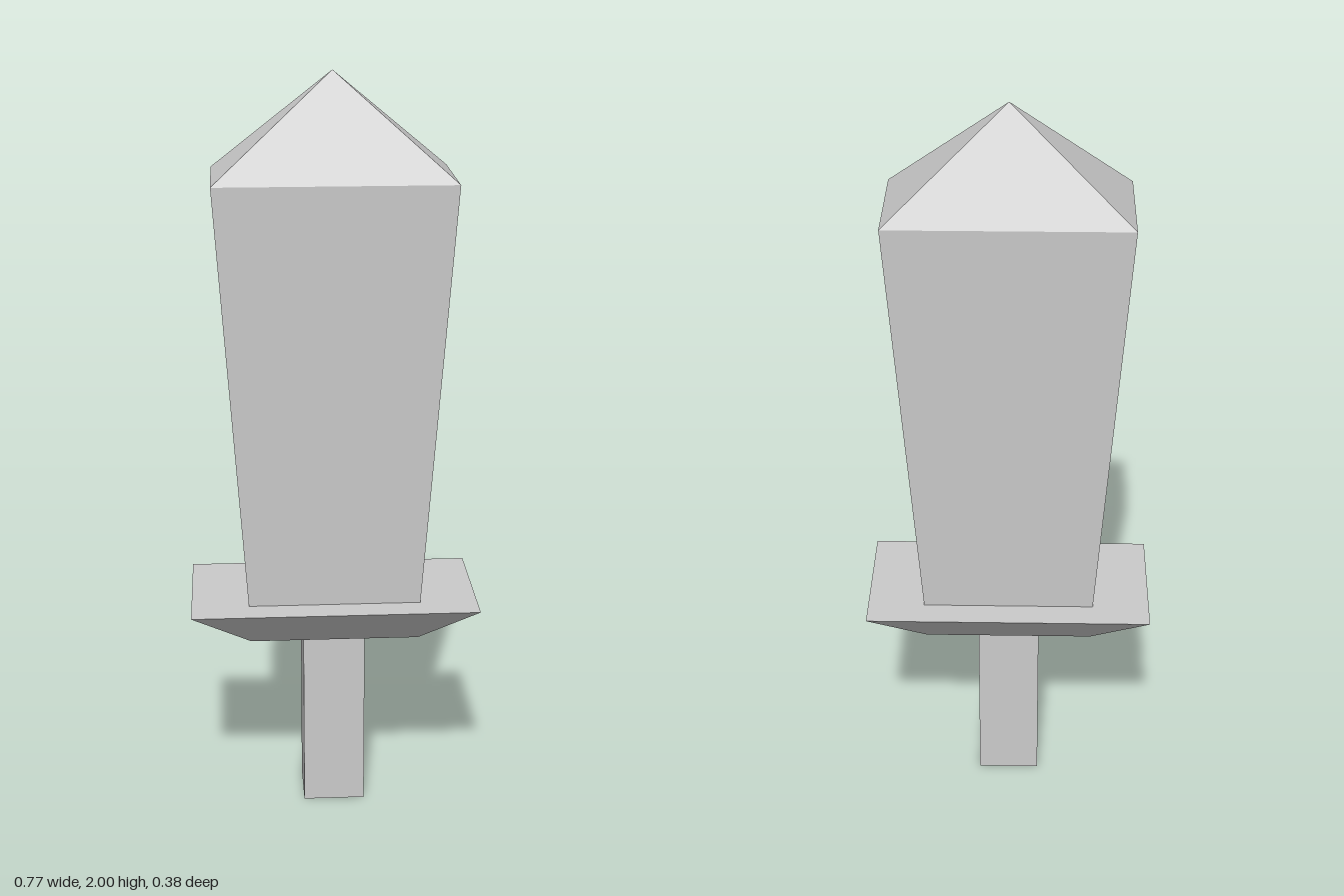
import * as THREE from 'three';

// Four-sided frustum between heights y0 and y1, given the half-widths in x at
// both ends and the depth-to-width ratio.
function frustum(name, y0, y1, halfBottom, halfTop, depthRatio, open = false) {
  const h = y1 - y0;
  let geometry = new THREE.CylinderGeometry(halfTop * Math.SQRT2, halfBottom * Math.SQRT2, h, 4, 1, open);
  geometry.rotateY(Math.PI / 4);
  geometry.scale(1, 1, depthRatio);
  geometry.translate(0, y0 + h / 2, 0);
  geometry = geometry.toNonIndexed();
  geometry.computeVertexNormals();
  const material = new THREE.MeshStandardMaterial({ color: 0xcccccc, flatShading: true });
  const mesh = new THREE.Mesh(geometry, material);
  mesh.name = name;
  return mesh;
}

export function createModel() {
  const sword = new THREE.Group();
  sword.name = 'sword';

  const guardBottom = 0.5, guardTop = 0.603, shoulder = 1.735;

  // Square grip
  sword.add(frustum('grip', 0, guardBottom, 0.083, 0.083, 1));
  // Guard flaring upwards
  sword.add(frustum('guard', guardBottom, guardTop, 0.225, 0.383, 0.5));
  // Blade widening towards the shoulder, open where it meets guard and tip
  sword.add(frustum('blade', guardTop, shoulder, 0.23, 0.309, 0.5, true));
  // Pyramid point
  sword.add(frustum('bladeTip', shoulder, 2, 0.309, 0, 0.5, true));

  return sword;
}
